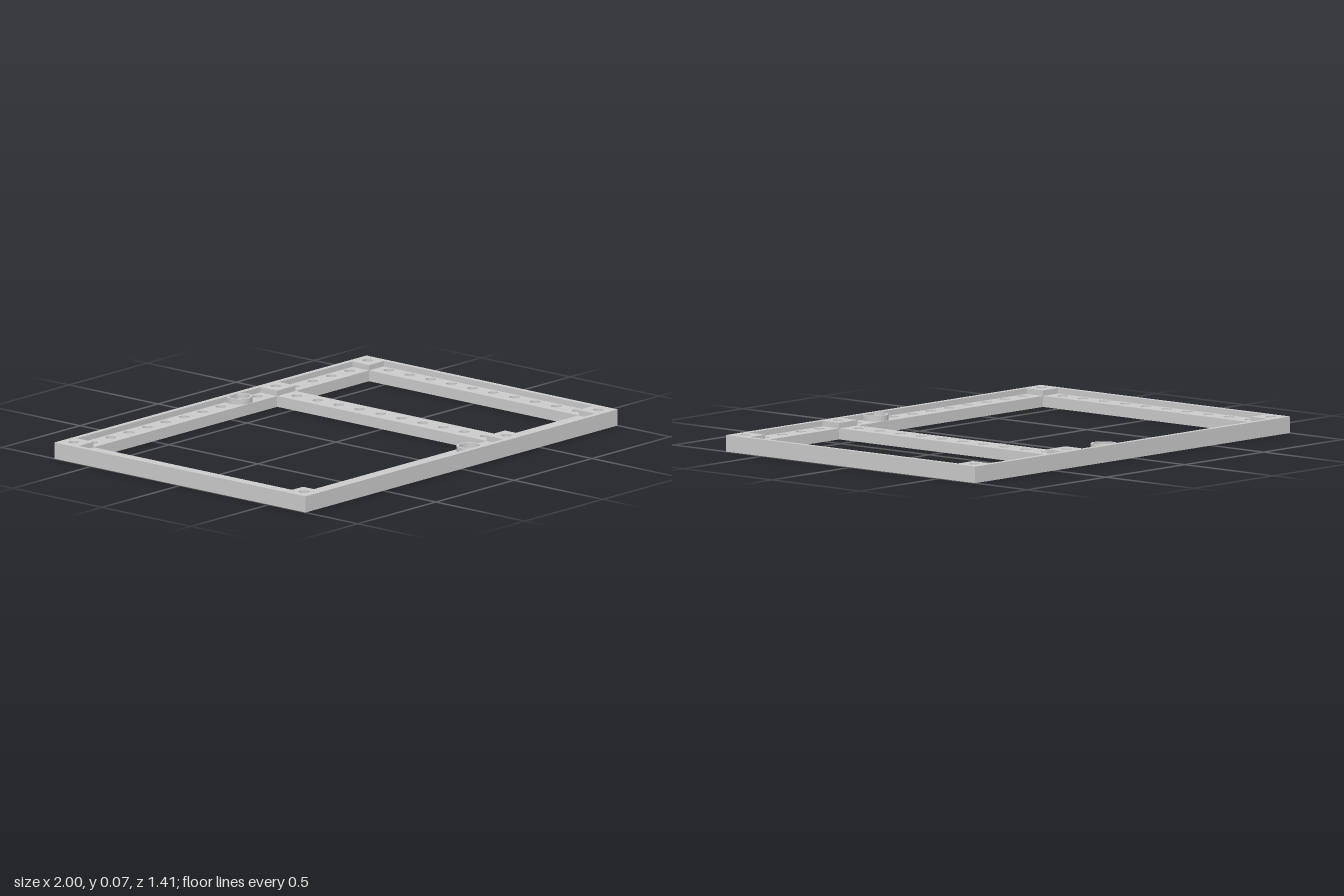
import * as THREE from 'three';

const S = 2 / 17;            // hole pitch, also the rail width
const X = 8.5 * S, Z = 6 * S; // half extents
const RIM = 0.2 * S;         // rim thickness
const LAYER = 0.2 * S;       // three equal layers make the full height
const SMALL = 0.0225, SINK = 0.043, BIG = 0.045, COLLAR = 0.056;

const rect = (Type, x0, x1, z0, z1) => new Type([
  [x0, z0], [x1, z0], [x1, z1], [x0, z1],
].map(([x, z]) => new THREE.Vector2(x, z)));

function circle(x, z, r) {
  const path = new THREE.Path();
  path.absarc(x, z, r, 0, Math.PI * 2, true);
  return path;
}

export function createModel() {
  const group = new THREE.Group();
  const material = new THREE.MeshStandardMaterial({ color: 0xcccccc });

  // Horizontal plate of the given outline between two heights
  function addPlate(name, shape, y, height) {
    const geometry = new THREE.ExtrudeGeometry(shape, {
      depth: height, bevelEnabled: false, curveSegments: 24,
    });
    geometry.rotateX(-Math.PI / 2);
    const mesh = new THREE.Mesh(geometry, material);
    mesh.position.y = y;
    mesh.name = name;
    group.add(mesh);
  }

  const columns = [-8 * S, 3 * S, 8 * S]; // side rails and crossbar
  const ends = [-5.5 * S, 5.5 * S];       // back and front rails
  const bigX = S;

  // Rails with two windows and a hole at every pitch
  function railShape(jointRadius) {
    const shape = rect(THREE.Shape, -X, X, -Z, Z);
    shape.holes.push(rect(THREE.Path, -7.5 * S, 2.5 * S, -5 * S, 5 * S));
    shape.holes.push(rect(THREE.Path, 3.5 * S, 7.5 * S, -5 * S, 5 * S));
    for (const z of ends) {
      for (let i = -8; i <= 8; i++) {
        const joint = columns.includes(i * S);
        const r = i === 1 ? BIG : joint ? jointRadius : SMALL;
        shape.holes.push(circle(i * S, z, r));
      }
    }
    for (const x of columns) {
      for (let j = -4.5; j <= 4.5; j++) shape.holes.push(circle(x, j * S, SMALL));
    }
    return shape;
  }
  addPlate('lowerRailsWithCounterbores', railShape(SINK), 0, LAYER);
  addPlate('upperRails', railShape(SMALL), LAYER, LAYER);

  // Raised rim with pads at the corners and crossbar joints
  const rim = rect(THREE.Shape, -X, X, -Z, Z);
  const xi = X - RIM, zi = Z - RIM, zp = 5 * S;
  const half = [
    [-xi, zp], [-7.5 * S, zp], [-7.5 * S, zi], [2.5 * S, zi], [2.5 * S, zp],
    [3.5 * S, zp], [3.5 * S, zi], [7.5 * S, zi], [7.5 * S, zp], [xi, zp],
  ];
  const outline = [...half, ...half.map(([x, z]) => [x, -z]).reverse()];
  rim.holes.push(new THREE.Path(outline.map(([x, z]) => new THREE.Vector2(x, z))));
  for (const x of columns) for (const z of ends) rim.holes.push(circle(x, z, SMALL));
  addPlate('raisedRimAndPads', rim, 2 * LAYER, LAYER);

  // Collars around the two large holes
  for (const z of ends) {
    const ring = new THREE.Shape();
    ring.absarc(bigX, z, COLLAR, 0, Math.PI * 2, false);
    ring.holes.push(circle(bigX, z, BIG));
    addPlate(z < 0 ? 'frontCollar' : 'backCollar', ring, 2 * LAYER, LAYER);
  }
  return group;
}
